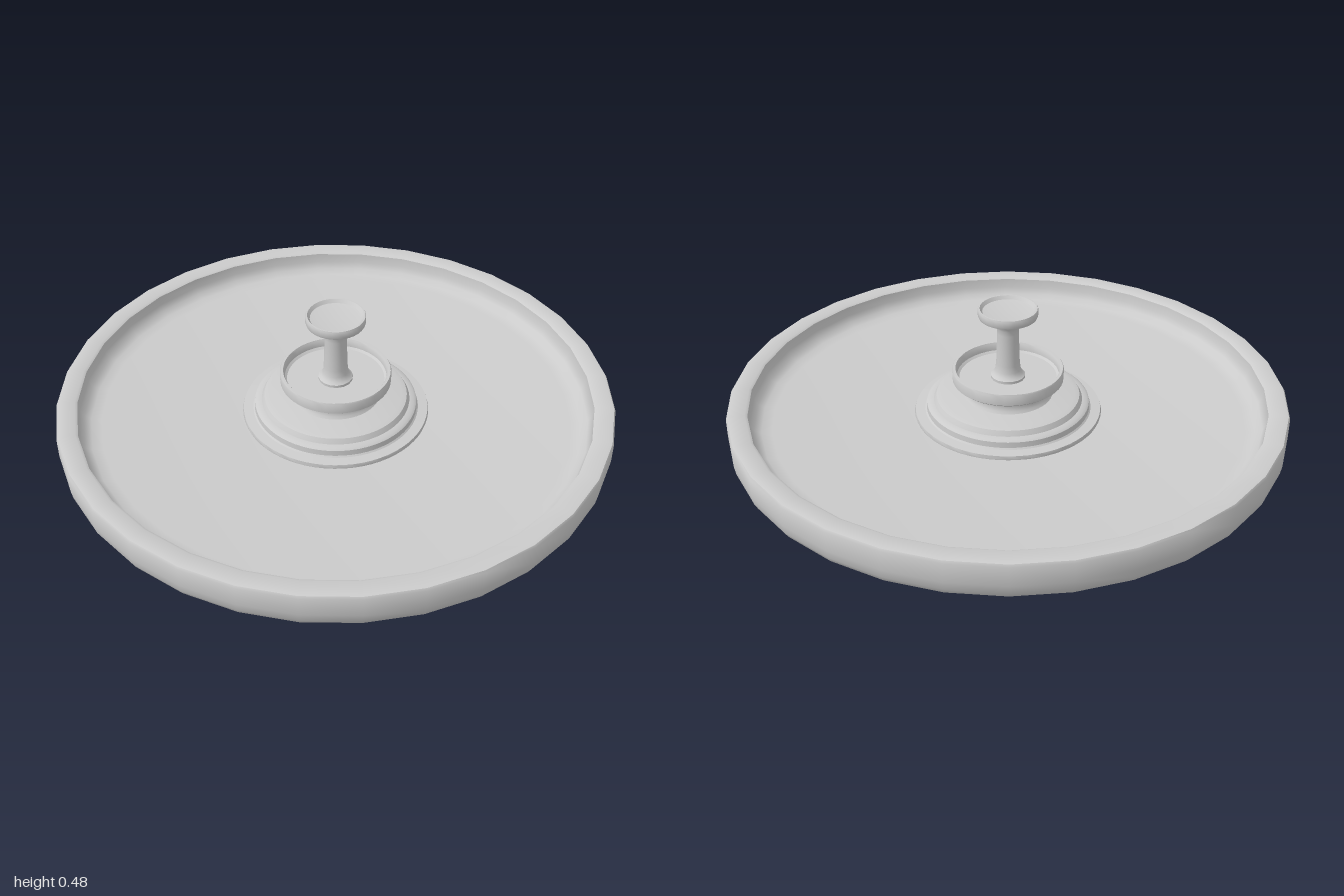
import * as THREE from 'three';
import { toCreasedNormals } from 'three/addons/utils/BufferGeometryUtils.js';

const material = new THREE.MeshStandardMaterial({ color: 0xcccccc, side: THREE.DoubleSide });

// Revolve [radius, height] pairs, listed from the bottom axis outward and up
function turned(name, profile, sides) {
  const points = profile.map(([r, y]) => new THREE.Vector2(r, y));
  const geometry = toCreasedNormals(new THREE.LatheGeometry(points, sides), 0.65);
  const mesh = new THREE.Mesh(geometry, material);
  mesh.name = name;
  return mesh;
}

export function createModel() {
  const fountain = new THREE.Group();
  fountain.name = 'fountain';

  // Wide basin with rounded foot, flat rim and a filleted floor
  fountain.add(turned('basin', [
    [0, 0], [0.7, 0], [0.93, 0.005], [0.965, 0.01], [0.985, 0.02], [0.995, 0.04],
    [1, 0.07], [1, 0.14], [0.995, 0.148], [0.985, 0.15],
    [0.935, 0.15], [0.926, 0.145], [0.922, 0.11], [0.91, 0.085], [0.885, 0.071], [0.85, 0.066], [0, 0.065],
  ], 32));

  // Stepped plinth standing on the basin floor
  fountain.add(turned('plinth', [
    [0.335, 0.06], [0.338, 0.07], [0.335, 0.08], [0.3, 0.083],
    [0.295, 0.088], [0.293, 0.108], [0.285, 0.114], [0.268, 0.116],
    [0.265, 0.122], [0.258, 0.134], [0.24, 0.139], [0, 0.14],
  ], 64));

  // Lower bowl on its short neck
  fountain.add(turned('lowerBowl', [
    [0.165, 0.135], [0.155, 0.147], [0.152, 0.16], [0.152, 0.178], [0.16, 0.19],
    [0.192, 0.192], [0.199, 0.198], [0.2, 0.235], [0.197, 0.24],
    [0.188, 0.24], [0.185, 0.236], [0.183, 0.21], [0.175, 0.203], [0, 0.202],
  ], 48));

  // Slender column with flared foot and capital
  fountain.add(turned('column', [
    [0.062, 0.2], [0.062, 0.212], [0.052, 0.22], [0.046, 0.235], [0.043, 0.26],
    [0.039, 0.38], [0.04, 0.4], [0.046, 0.415], [0.052, 0.422], [0.052, 0.428], [0.065, 0.442],
  ], 16));

  // Small upper bowl with a shallow hollow
  fountain.add(turned('upperBowl', [
    [0, 0.439], [0.095, 0.44], [0.103, 0.444], [0.106, 0.452], [0.106, 0.472], [0.104, 0.476],
    [0.099, 0.476], [0.096, 0.472], [0.09, 0.464], [0.07, 0.461], [0, 0.46],
  ], 32));

  return fountain;
}
